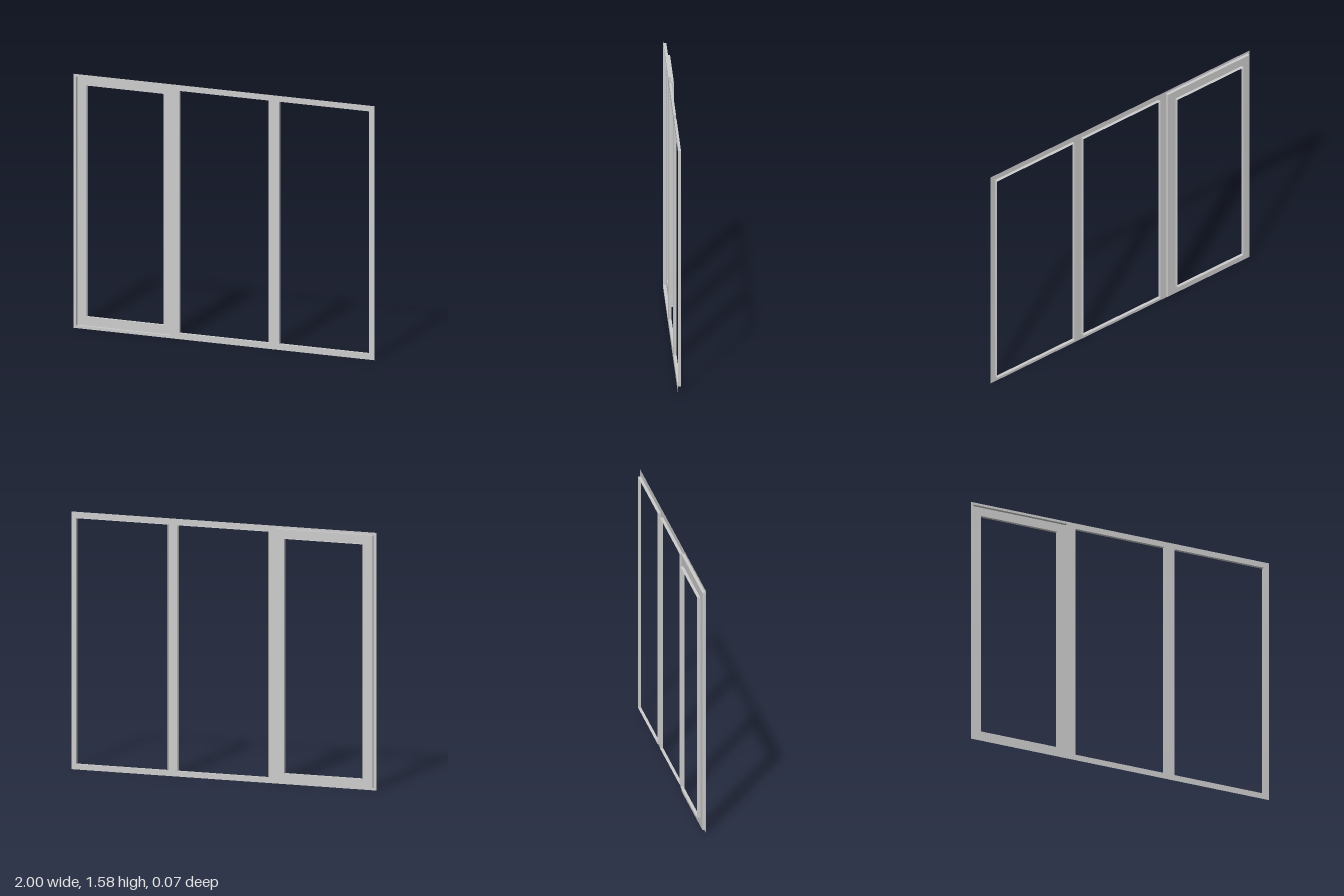
import * as THREE from 'three';

const DEPTH = 0.0195;
const material = new THREE.MeshStandardMaterial({ color: 0xcccccc, flatShading: true, side: THREE.DoubleSide });

// rectangles are [x0, y0, x1, y1]
const corners = ([x0, y0, x1, y1]) => [[x0, y0], [x1, y0], [x1, y1], [x0, y1]].map(p => new THREE.Vector2(...p));

// flat sheet with rectangular openings
function panel(name, outer, openings, z) {
  const shape = new THREE.Shape(corners(outer));
  for (const o of openings) shape.holes.push(new THREE.Path(corners(o).reverse()));
  const mesh = new THREE.Mesh(new THREE.ShapeGeometry(shape), material);
  mesh.name = name;
  mesh.position.z = z;
  return mesh;
}

// open four-sided lining running back from the edge of an opening
function reveal(name, [x0, y0, x1, y1], z) {
  const geometry = new THREE.CylinderGeometry(Math.SQRT1_2, Math.SQRT1_2, DEPTH, 4, 1, true)
    .rotateY(Math.PI / 4).rotateX(Math.PI / 2)
    .scale(x1 - x0, y1 - y0, 1)
    .toNonIndexed();
  geometry.computeVertexNormals();
  const mesh = new THREE.Mesh(geometry, material);
  mesh.name = name;
  mesh.position.set((x0 + x1) / 2, (y0 + y1) / 2, z - DEPTH / 2);
  return mesh;
}

function framed(name, outer, openings, z) {
  const group = new THREE.Group();
  group.name = name;
  group.add(panel(name + 'Face', outer, openings, z));
  openings.forEach((o, i) => group.add(reveal(name + 'Reveal' + (i + 1), o, z)));
  return group;
}

export function createModel() {
  const front = 0.0098;
  const sashOpening = [-0.983, 0.017, -0.353, 1.56];
  const windowUnit = new THREE.Group();
  windowUnit.name = 'window';
  // main frame: sash bay and two fixed bays
  windowUnit.add(framed('frame', [-1, 0, 1, 1.575], [
    sashOpening,
    [-0.297, 0.037, 0.297, 1.539],
    [0.366, 0.037, 0.963, 1.539],
  ], front));
  // opening sash, set one depth behind the frame face
  windowUnit.add(framed('sash', sashOpening, [[-0.922, 0.072, -0.412, 1.505]], front - DEPTH));
  // slight turn of the whole window
  windowUnit.rotation.y = 0.0233;

  const model = new THREE.Group();
  model.name = 'windowModel';
  model.add(windowUnit);
  return model;
}
